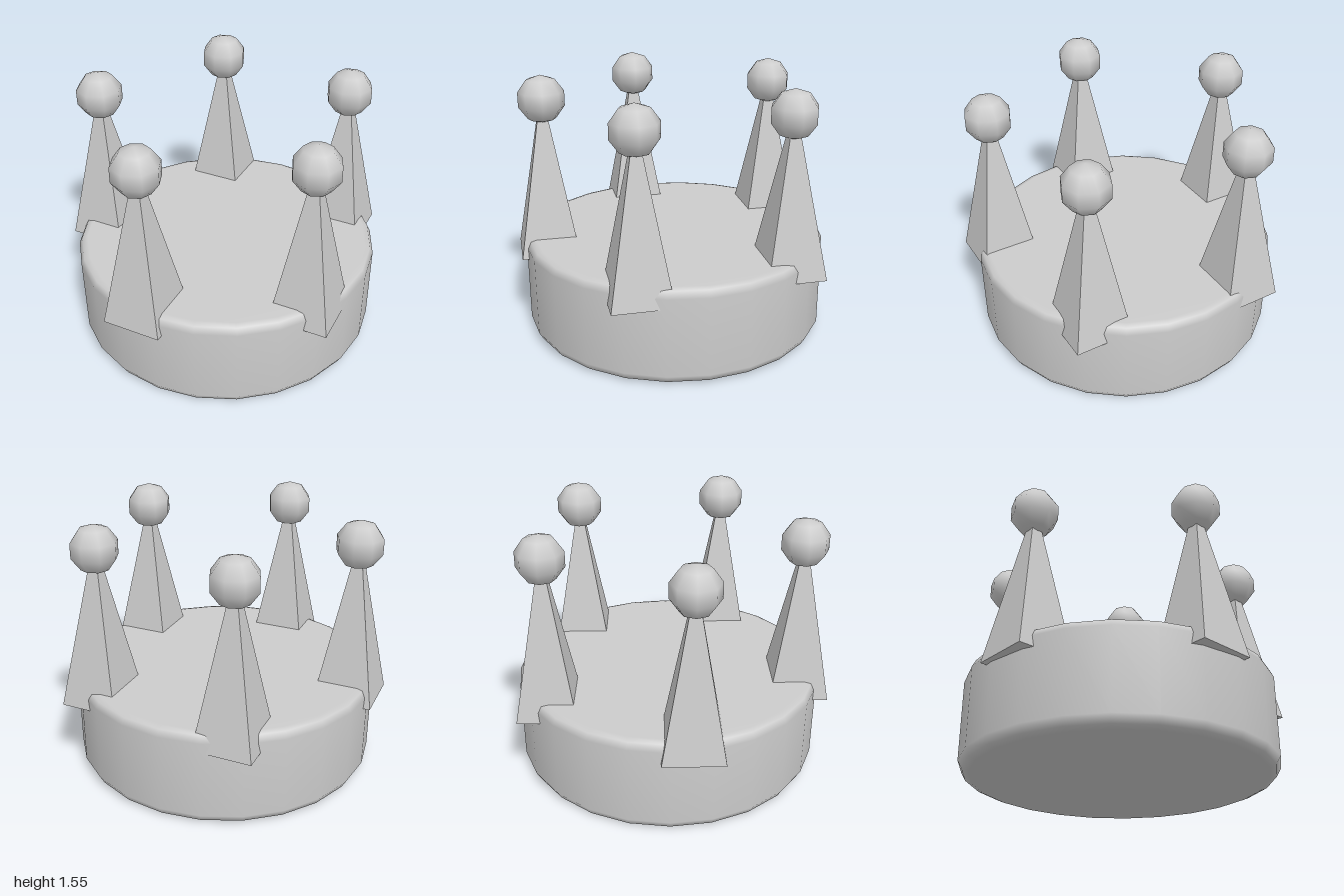
import * as THREE from 'three';

export function createModel() {
  const model = new THREE.Group();
  model.name = 'crown';
  const grey = new THREE.MeshStandardMaterial({ color: 0xcccccc });
  grey.name = 'grey';
  const centreX = -0.06;

  // Solid round band with softly bevelled rims
  const profile = [
    [0, 0], [0.86, 0], [0.895, 0.015], [0.92, 0.06],
    [0.92, 0.53], [0.9, 0.57], [0.865, 0.58], [0, 0.58],
  ].map(([r, y]) => new THREE.Vector2(r, y));
  const band = new THREE.Mesh(new THREE.LatheGeometry(profile, 24), grey);
  band.name = 'band';
  band.position.x = centreX;
  model.add(band);

  // Four-sided flat spike and faceted ball, shared by all five points
  const spikeGeometry = new THREE.ConeGeometry(0.248, 1.01, 4).toNonIndexed();
  spikeGeometry.computeVertexNormals();
  const ballGeometry = new THREE.SphereGeometry(0.144, 8, 5);

  // Five points evenly spaced round the rim, all facing the same way
  for (let i = 0; i < 5; i++) {
    const angle = (i * Math.PI * 2) / 5;
    const point = new THREE.Group();
    point.name = 'point' + (i + 1);
    point.position.set(centreX + 0.787 * Math.cos(angle), 0, 0.787 * Math.sin(angle));

    const spike = new THREE.Mesh(spikeGeometry, grey);
    spike.name = 'spike';
    spike.position.y = 0.465 + 0.505;
    const ball = new THREE.Mesh(ballGeometry, grey);
    ball.name = 'ball';
    ball.position.y = 1.411;

    point.add(spike, ball);
    model.add(point);
  }
  return model;
}
